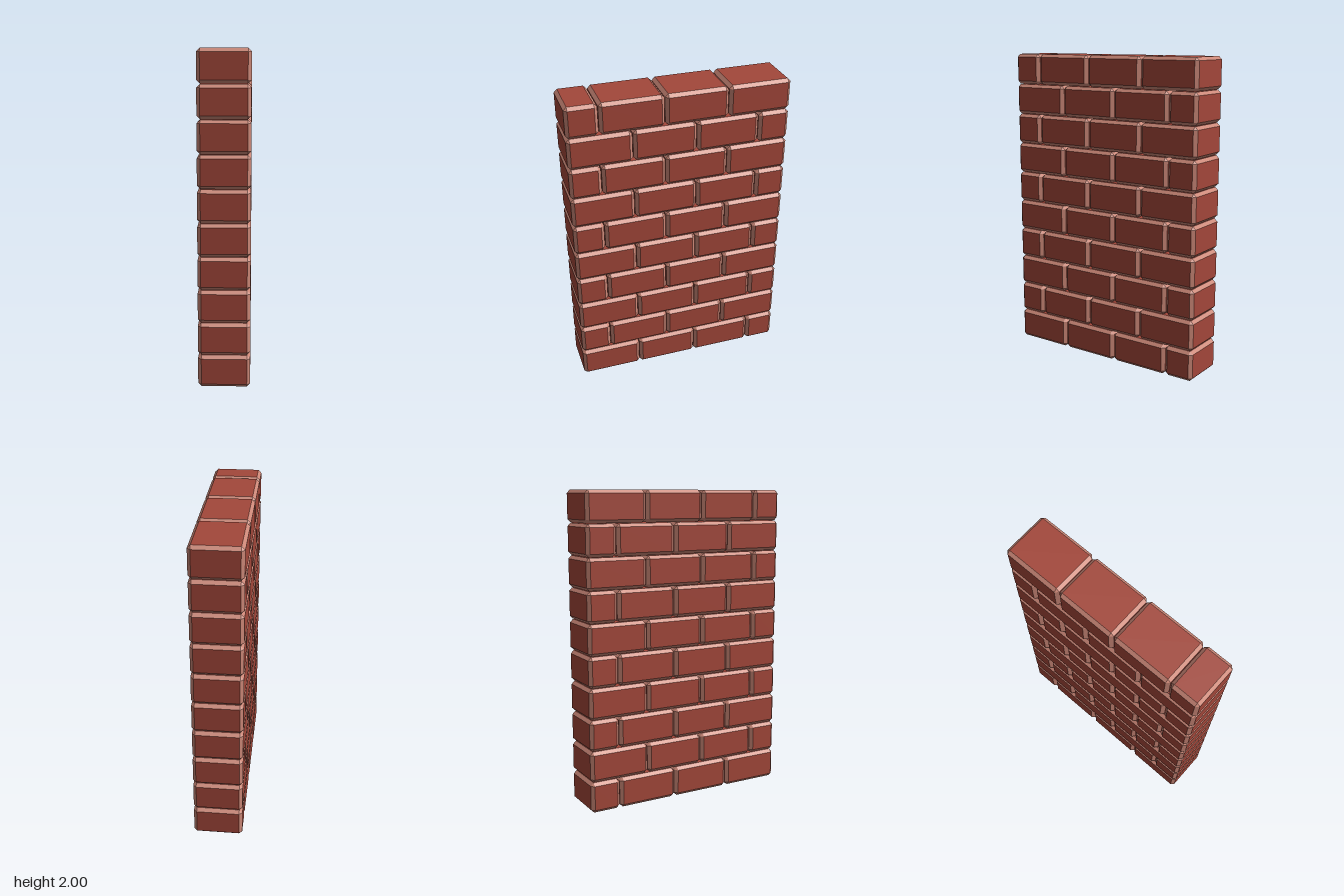
import * as THREE from 'three';

const ROWS = 10, PITCH_Y = 0.2003, PITCH_Z = 0.4, GAP = 0.004;
const WIDTH = 0.312, LENGTH = 1.396, BEVEL = 0.02;

const faceMaterial = new THREE.MeshStandardMaterial({ color: 0xa3473a, flatShading: true });
const bevelMaterial = new THREE.MeshStandardMaterial({ color: 0xcc8878, flatShading: true });

// Convex polygons around the origin, each turned to face outwards
function polygonGeometry(polygons) {
  const positions = [];
  for (const polygon of polygons) {
    const [a, b, c] = polygon;
    const normal = b.clone().sub(a).cross(c.clone().sub(a));
    const pts = normal.dot(a) < 0 ? [...polygon].reverse() : polygon;
    for (let i = 1; i < pts.length - 1; i++) {
      for (const p of [pts[0], pts[i], pts[i + 1]]) positions.push(p.x, p.y, p.z);
    }
  }
  const geometry = new THREE.BufferGeometry();
  geometry.setAttribute('position', new THREE.Float32BufferAttribute(positions, 3));
  geometry.computeVertexNormals();
  return geometry;
}

// Chamfered block, split into its six flat faces and its bevels
function brickGeometries(width, height, length) {
  const half = [width / 2, height / 2, length / 2];
  // Corner of the flat face on the given axis
  const corner = (axis, signs) => new THREE.Vector3(
    ...half.map((h, i) => signs[i] * (i === axis ? h : h - BEVEL)));
  const faces = [], bevels = [];
  for (let a = 0; a < 3; a++) {
    const b = (a + 1) % 3, c = (a + 2) % 3;
    const signs = (sa, sb, sc) => {
      const s = [];
      s[a] = sa; s[b] = sb; s[c] = sc;
      return s;
    };
    for (const s of [-1, 1]) {
      faces.push([[-1, -1], [1, -1], [1, 1], [-1, 1]].map(([u, v]) => corner(a, signs(s, u, v))));
      // Edge strips between this face and its two neighbours on axis b
      for (const t of [-1, 1]) {
        const lo = signs(s, t, -1), hi = signs(s, t, 1);
        bevels.push([corner(a, lo), corner(a, hi), corner(b, hi), corner(b, lo)]);
      }
    }
  }
  // Corner triangles
  for (const x of [-1, 1]) for (const y of [-1, 1]) for (const z of [-1, 1]) {
    bevels.push([0, 1, 2].map((axis) => corner(axis, [x, y, z])));
  }
  return { faces: polygonGeometry(faces), bevels: polygonGeometry(bevels) };
}

function makeBrick(name, geometries) {
  const brick = new THREE.Group();
  brick.name = name;
  const body = new THREE.Mesh(geometries.faces, faceMaterial);
  body.name = 'brickFaces';
  const edges = new THREE.Mesh(geometries.bevels, bevelMaterial);
  edges.name = 'brickBevels';
  brick.add(body, edges);
  return brick;
}

export function createModel() {
  const wall = new THREE.Group();
  wall.name = 'brickWall';
  const height = PITCH_Y - GAP + 0.001;
  const fullLength = PITCH_Z - GAP, halfLength = PITCH_Z / 2 - GAP;
  const full = brickGeometries(WIDTH, height, fullLength);
  const half = brickGeometries(WIDTH, height, halfLength);

  for (let row = 0; row < ROWS; row++) {
    const course = new THREE.Group();
    course.name = `course${row + 1}`;
    course.position.y = height / 2 + row * PITCH_Y;
    // Running bond: the half brick ends the even courses at the back, the odd at the front
    const direction = row % 2 === 0 ? -1 : 1;
    for (let i = 0; i < 4; i++) {
      const isHalf = i === 3;
      const length = isHalf ? halfLength : fullLength;
      const brick = makeBrick(isHalf ? 'halfBrick' : 'brick', isHalf ? half : full);
      brick.position.z = direction * (-LENGTH / 2 + i * PITCH_Z + length / 2);
      course.add(brick);
    }
    wall.add(course);
  }
  return wall;
}
